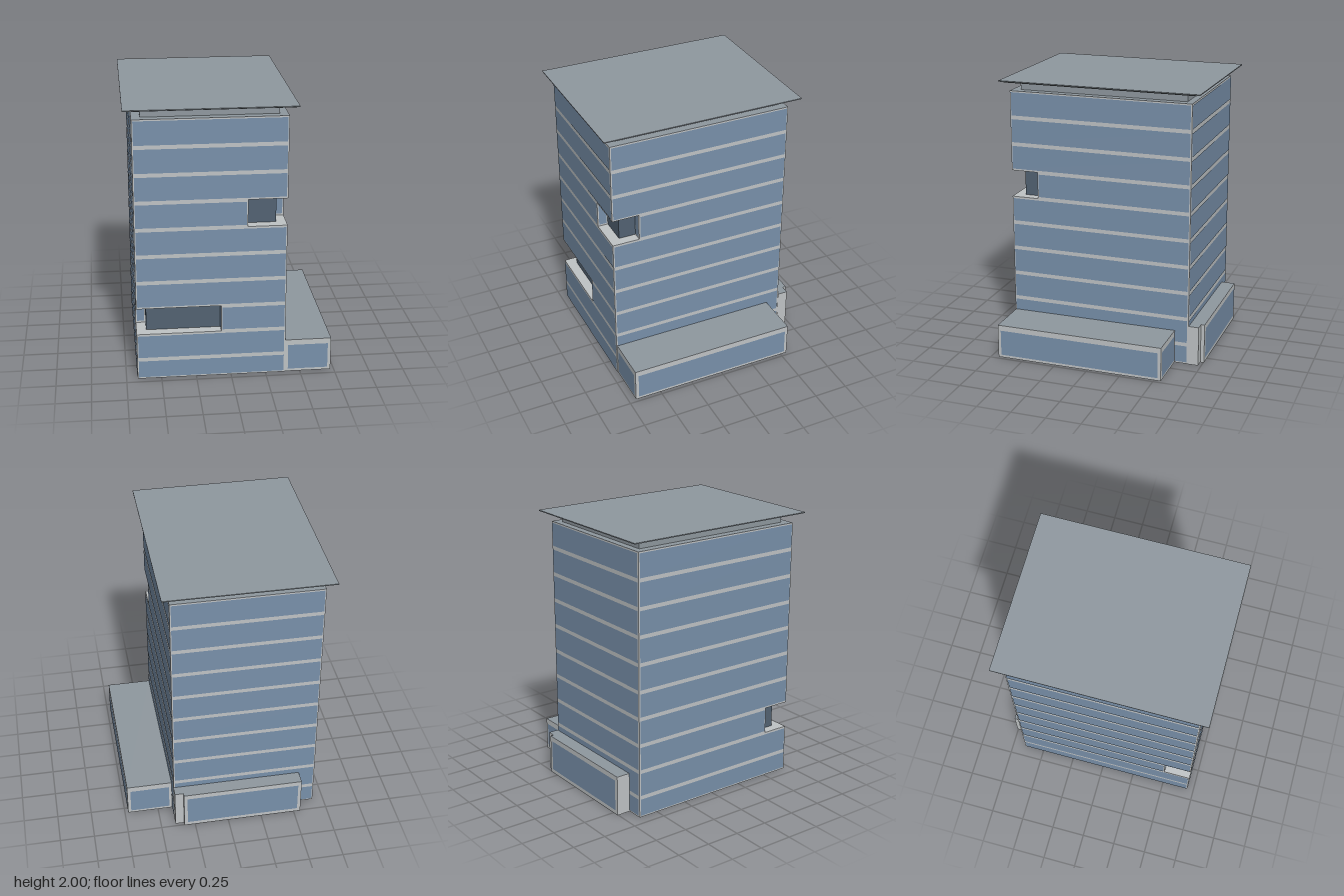
import * as THREE from 'three';

const flat = (name, color, side = THREE.FrontSide) => {
  const m = new THREE.MeshStandardMaterial({ color, side });
  m.name = name;
  return m;
};

export function createModel() {
  const frameMat = flat('light grey frame', 0xbfc3c5, THREE.DoubleSide);
  const glassMat = flat('blue glass', 0x7890aa);
  const darkMat = flat('dark recessed glass', 0x526272, THREE.DoubleSide);
  const roofMat = flat('roof grey', 0x8f989f, THREE.DoubleSide);

  const model = new THREE.Group();
  model.name = 'officeTower';
  const group = (name) => {
    const g = new THREE.Group();
    g.name = name;
    model.add(g);
    return g;
  };
  const add = (parent, name, geometry, material, x, y, z) => {
    const mesh = new THREE.Mesh(geometry, material);
    mesh.name = name;
    mesh.position.set(x, y, z);
    parent.add(mesh);
    return mesh;
  };

  // Upright panel from a to b ([x, z], left to right as seen from outside)
  function panel(parent, name, a, b, y0, y1, material, inset = 0, out = 0) {
    const dx = b[0] - a[0], dz = b[1] - a[1], len = Math.hypot(dx, dz);
    const nx = -dz / len, nz = dx / len;
    const mesh = add(parent, name, new THREE.PlaneGeometry(len - 2 * inset, y1 - y0), material,
      (a[0] + b[0]) / 2 + nx * out, (y0 + y1) / 2, (a[1] + b[1]) / 2 + nz * out);
    mesh.rotation.y = Math.atan2(nx, nz);
  }

  // Horizontal plate
  function plate(parent, name, x0, x1, z0, z1, y, material) {
    const mesh = add(parent, name, new THREE.PlaneGeometry(x1 - x0, z1 - z0), material,
      (x0 + x1) / 2, y, (z0 + z1) / 2);
    mesh.rotation.x = -Math.PI / 2;
  }

  // Tower storeys: plain footprint, plus two with a corner recess
  const L = -0.67, R = 0.39, F = 0.7, B = -0.65;
  const plain = [[L, F], [R, F], [R, B], [L, B]];
  const leftRecess = [[L, B], [L, 0.5], [-0.6, 0.5], [-0.6, 0.625], [-0.07, 0.625], [-0.07, F], [R, F], [R, B]];
  const rightRecess = [[L, F], [0.115, F], [0.115, 0.625], [0.32, 0.625], [0.32, 0.5], [R, 0.5], [R, B], [L, B]];
  const levels = [0];
  for (let k = 0; k < 9; k++) levels.push(0.151 + 0.197 * k);
  levels.push(1.92);

  const tower = group('tower');
  for (let i = 0; i < 10; i++) {
    const footprint = i === 2 ? leftRecess : i === 6 ? rightRecess : plain;
    const darkEdges = i === 2 ? [2, 3] : i === 6 ? [2, 3] : [];
    const y0 = levels[i], y1 = levels[i + 1];
    footprint.forEach((a, e) => {
      const b = footprint[(e + 1) % footprint.length];
      if (darkEdges.includes(e)) {
        panel(tower, 'recessGlass', a, b, y0, y1, darkMat);
      } else {
        panel(tower, 'wall', a, b, y0, y1, frameMat);
        panel(tower, 'windowBand', a, b, y0 + (i ? 0.014 : 0.012), y1 - (i < 9 ? 0.014 : 0.01),
          glassMat, 0.009, 0.003);
      }
    });
  }

  // Floors and ceilings of the recesses
  for (const y of [levels[2], levels[3]]) plate(tower, 'leftRecessPlate', L, -0.07, 0.5, F, y, frameMat);
  for (const y of [levels[6], levels[7]]) plate(tower, 'rightRecessPlate', 0.115, R, 0.5, F, y, frameMat);

  // Low wing along the left side, open below
  const wing = group('sideWing');
  const wingPath = [[R, 0.695], [0.725, 0.695], [0.725, -0.55], [R, -0.55]];
  for (let e = 0; e < 3; e++) {
    panel(wing, 'wingWall', wingPath[e], wingPath[e + 1], 0, 0.25, frameMat);
    panel(wing, 'wingWindow', wingPath[e], wingPath[e + 1], 0.02, 0.21, glassMat, 0.023, 0.002);
  }
  plate(wing, 'wingRoof', R, 0.725, -0.55, 0.695, 0.25, roofMat);

  // Entrance block at the back, with a narrow pier beside it
  const entrance = group('rearEntrance');
  const blocks = [
    ['entranceBlock', [[0.33, B], [0.33, -0.755], [-0.55, -0.755], [-0.55, B]], 0.295],
    ['entrancePier', [[0.393, B], [0.393, -0.728], [0.33, -0.728]], 0.295],
  ];
  for (const [name, path, h] of blocks) {
    for (let e = 0; e < path.length - 1; e++) panel(entrance, name, path[e], path[e + 1], 0, h, frameMat);
  }
  plate(entrance, 'entranceRoof', -0.55, 0.33, -0.755, B, 0.295, roofMat);
  plate(entrance, 'pierRoof', 0.33, 0.393, -0.728, B, 0.295, roofMat);
  panel(entrance, 'entranceWindow', [0.33, -0.755], [-0.55, -0.755], 0.03, 0.26, glassMat, 0.025, 0.002);

  // Set-back top storey and overhanging roof with a chamfered underside
  const roof = group('roof');
  plate(roof, 'towerLedge', L, R, B, F, 1.92, roofMat);
  add(roof, 'roofNeck', new THREE.BoxGeometry(0.94, 0.065, 1.24), roofMat, -0.14, 1.9525, 0.02);
  add(roof, 'roofSlab', new THREE.BoxGeometry(1.18, 0.007, 1.48), roofMat, -0.14, 1.9965, 0.02);
  const soffit = new THREE.BoxGeometry(1.18, 0.013, 1.48);
  const p = soffit.attributes.position;
  for (let i = 0; i < p.count; i++) {
    if (p.getY(i) < 0) p.setXYZ(i, p.getX(i) * 0.93, p.getY(i), p.getZ(i) * 0.945);
  }
  soffit.computeVertexNormals();
  add(roof, 'roofSoffit', soffit, roofMat, -0.14, 1.9865, 0.02);

  return model;
}
